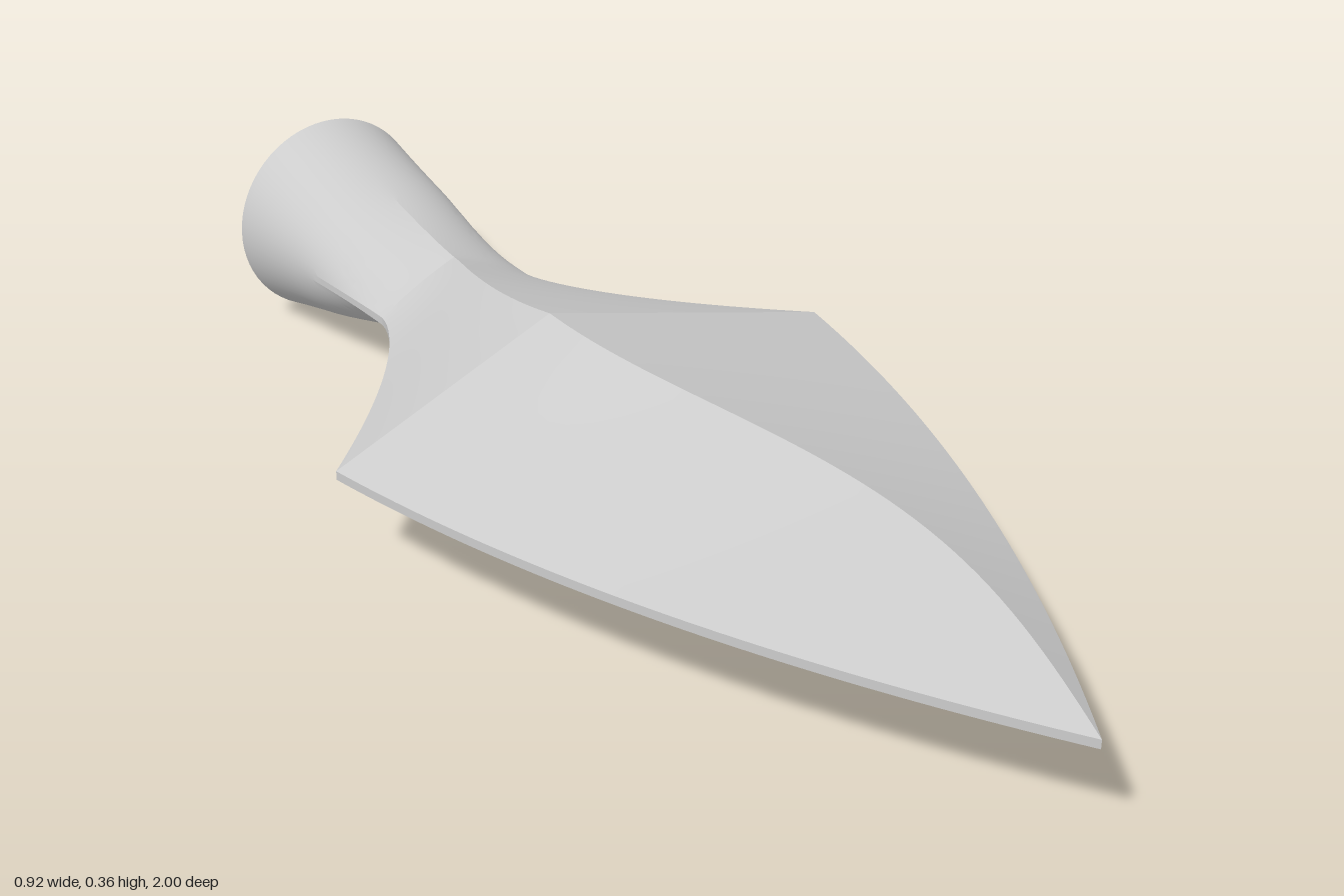
import * as THREE from 'three';
import { toCreasedNormals } from 'three/addons/utils/BufferGeometryUtils.js';

const MID = 0.18;        // height of the central axis
const EDGE = 0.0075;     // half thickness of the cutting edge
const SHOULDER = -0.155, NECK = -0.56;

// Half width, half height, ridge offset and roundness of the section at z
function section(z) {
  const ridge = z > NECK ? -0.072 * Math.sin((2 * Math.PI * (z - NECK)) / (1 - NECK)) : 0;
  const round = THREE.MathUtils.smoothstep(-z, 0.46, 0.84);
  if (z >= SHOULDER) {
    const t = (z - SHOULDER) / (1 - SHOULDER);
    const k = 1 - 0.45 * t - 0.55 * t * t;
    return { w: 0.46 * k, h: EDGE + 0.1525 * k, ridge, round };
  }
  if (z >= NECK) {
    const s = (SHOULDER - z) / (SHOULDER - NECK);
    return { w: 0.145 + 0.315 * Math.pow(1 - s, 1.4), h: 0.16 - 0.08 * s, ridge, round };
  }
  const s = (NECK - z) / (NECK + 1);
  return { w: 0.145 + 0.035 * Math.pow(s, 1.5), h: 0.08 + 0.1 * Math.pow(s, 1.25), ridge, round };
}

// Closed ring: a ridged diamond with thin flat edges, blending into an ellipse
function ring(z, n) {
  const { w, h, ridge, round } = section(z);
  const half = [];
  const add = (x, y, a) => half.push([
    THREE.MathUtils.lerp(x, w * Math.cos(a), round),
    THREE.MathUtils.lerp(y, h * Math.sin(a), round)]);
  const a0 = 0.05, span = Math.PI / 2 - a0;
  for (let i = 0; i <= n; i++) {
    const u = i / n;
    add(w + (ridge - w) * u, EDGE + (h - EDGE) * u, a0 + span * u);
  }
  for (let i = 1; i <= n; i++) {
    const u = i / n;
    add(ridge + (-w - ridge) * u, h + (EDGE - h) * u, Math.PI / 2 + span * u);
  }
  // The lower half is the upper half turned by 180 degrees
  return [...half, ...half.map(([x, y]) => [-x, -y])];
}

// Stations along the axis, with exact stops at the shoulder and neck
function stations() {
  const list = [];
  [[1, SHOULDER, 44], [SHOULDER, NECK, 26], [NECK, -1, 28]].forEach(([a, b, n]) => {
    for (let i = 0; i < n; i++) list.push(a + ((b - a) * i) / n);
  });
  return [...list, -1];
}

function loft() {
  const rings = stations().map((z) => ring(z, 16).map(([x, y]) => [x, y + MID, z]));
  const count = rings[0].length;
  const index = [];
  for (let i = 0; i < rings.length - 1; i++) {
    for (let j = 0; j < count; j++) {
      const k = (j + 1) % count;
      const a = i * count + j, b = i * count + k, c = a + count, d = b + count;
      index.push(a, c, b, b, c, d);
    }
  }
  // Flat cap on the socket end
  const last = (rings.length - 1) * count, centre = rings.length * count;
  for (let j = 0; j < count; j++) index.push(centre, last + ((j + 1) % count), last + j);

  const geometry = new THREE.BufferGeometry();
  const positions = [...rings.flat(2), 0, MID, -1];
  geometry.setAttribute('position', new THREE.Float32BufferAttribute(positions, 3));
  geometry.setIndex(index);
  return toCreasedNormals(geometry, THREE.MathUtils.degToRad(11));
}

export function createModel() {
  const group = new THREE.Group();
  group.name = 'spearhead';
  const head = new THREE.Mesh(loft(), new THREE.MeshStandardMaterial({ color: 0xcccccc }));
  head.name = 'bladeAndSocket';
  group.add(head);
  return group;
}
